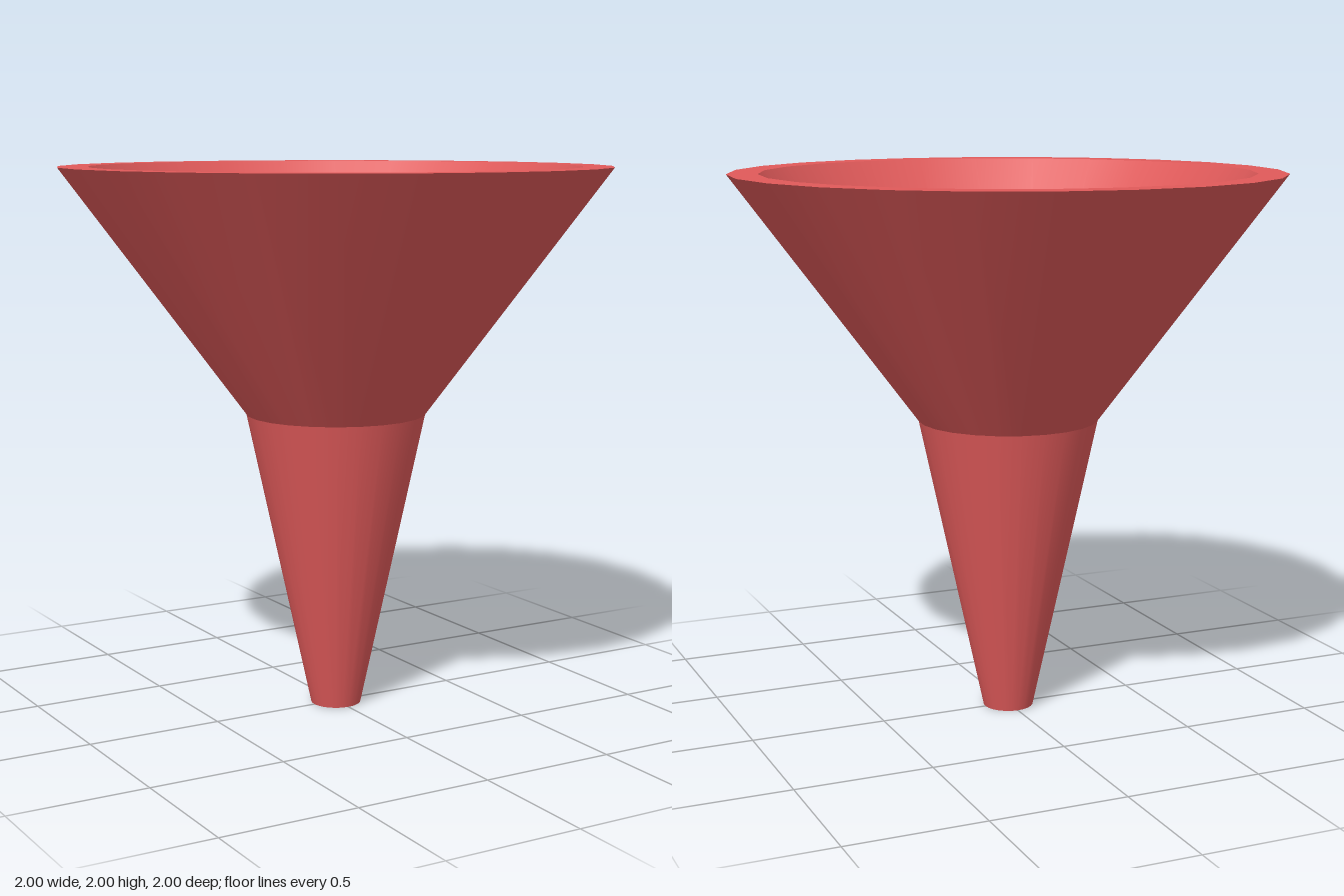
import * as THREE from 'three';

const SIDES = 24;

export function createModel() {
  const funnel = new THREE.Group();
  funnel.name = 'funnel';
  const material = new THREE.MeshStandardMaterial({ color: 0xe05a5a });

  // Closed wall section as [radius, height], up the outside and down the inside
  const section = [[0.093, 0], [0.33, 1.1], [1, 2], [0.89, 2], [0.24, 1.1], [0.046, 0]];
  const names = ['spoutOuter', 'bowlOuter', 'rim', 'bowlInner', 'spoutInner', 'spoutTip'];

  // One band per edge: smooth around the axis, sharp where bands meet
  names.forEach((name, i) => {
    const ends = [section[i], section[(i + 1) % section.length]];
    const points = ends.map(([r, y]) => new THREE.Vector2(r, y));
    const band = new THREE.Mesh(new THREE.LatheGeometry(points, SIDES), material);
    band.name = name;
    funnel.add(band);
  });

  return funnel;
}
